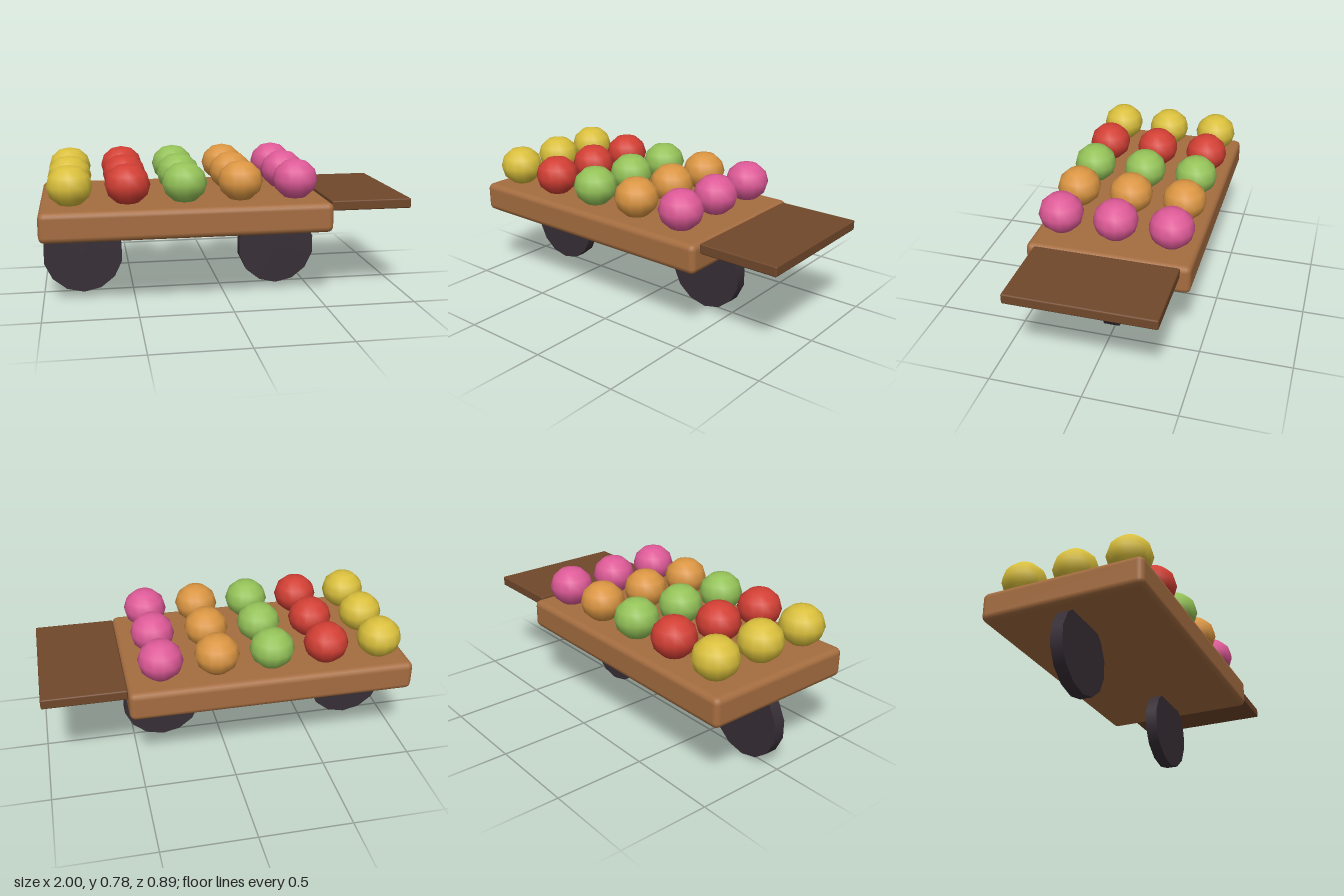
import * as THREE from 'three';
import { RoundedBoxGeometry } from 'three/addons/geometries/RoundedBoxGeometry.js';

const paint = (name, color) => {
  const m = new THREE.MeshStandardMaterial({ color });
  m.name = name;
  return m;
};

export function createModel() {
  const model = new THREE.Group();
  model.name = 'fruitCart';

  const wood = paint('wood', 0xa56d40);
  const darkWood = paint('dark wood', 0x70482b);
  const rubber = paint('rubber', 0x372e36);
  const fruits = [
    paint('yellow', 0xd9bf3c),
    paint('red', 0xd23f34),
    paint('green', 0x94c258),
    paint('orange', 0xda9542),
    paint('pink', 0xde5a97),
  ];

  const add = (name, geometry, material, x, y, z) => {
    const mesh = new THREE.Mesh(geometry, material);
    mesh.name = name;
    mesh.position.set(x, y, z);
    model.add(mesh);
    return mesh;
  };

  // Cart bed and the thin shelf at its end
  add('bed', new RoundedBoxGeometry(1.552, 0.162, 0.886, 2, 0.033), wood, -0.224, 0.473, 0);
  add('shelf', new RoundedBoxGeometry(0.446, 0.055, 0.78, 2, 0.008), darkWood, 0.775, 0.528, 0);

  // Two wheels on the centre line, partly sunk into the bed
  const wheel = new THREE.CylinderGeometry(0.222, 0.222, 0.066, 14).rotateX(Math.PI / 2);
  add('rightWheel', wheel, rubber, -0.779, 0.222, 0);
  add('leftWheel', wheel, rubber, 0.331, 0.222, 0);

  // Slightly flattened fruit, one colour per column
  const fruit = new THREE.SphereGeometry(0.121, 14, 6).rotateY(Math.PI / 2).scale(1, 0.91, 1);
  fruits.forEach((material, i) => {
    for (const z of [-0.3, 0, 0.3]) {
      add(`${material.name}Fruit`, fruit, material, -0.835 + i * 0.3, 0.667, z);
    }
  });

  return model;
}
